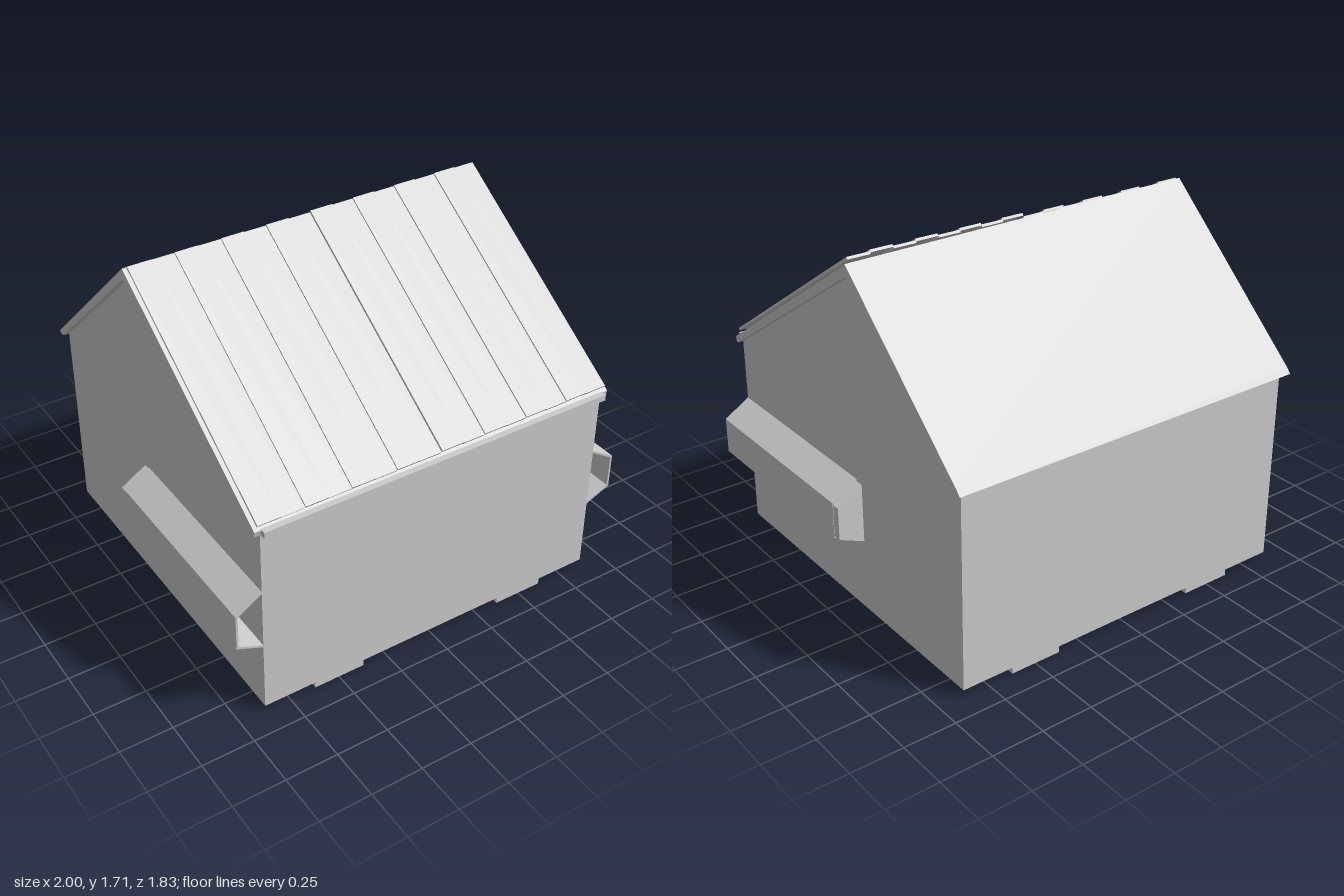
import * as THREE from 'three';

const polygon = (pts) => new THREE.Shape(pts.map(([a, b]) => new THREE.Vector2(a, b)));

// Extrudes a [z, y] side profile across the full width, centred on x = 0
function acrossX(pts, width) {
  const g = new THREE.ExtrudeGeometry(polygon(pts), { depth: width, bevelEnabled: false });
  g.translate(0, 0, -width / 2);
  g.rotateY(-Math.PI / 2);
  return g;
}

// Extrudes an [x, y] profile from z0 to z1
function alongZ(pts, z0, z1) {
  const g = new THREE.ExtrudeGeometry(polygon(pts), { depth: z1 - z0, bevelEnabled: false });
  g.translate(0, 0, z0);
  return g;
}

export function createModel() {
  const model = new THREE.Group();
  model.name = 'wasteContainer';
  const grey = new THREE.MeshStandardMaterial({ color: 0xcccccc });
  grey.name = 'paintedSteelGrey';

  const add = (name, geometry, parent = model) => {
    const mesh = new THREE.Mesh(geometry, grey);
    mesh.name = name;
    parent.add(mesh);
    return mesh;
  };

  // Body with gabled sides
  add('body', acrossX([
    [0.88, 0.03], [0.88, 0.97], [-0.14, 1.63], [-0.88, 0.97], [-0.88, 0.03],
  ], 1.75));

  // Roof frame below the lids, front lip and back roof panel
  add('frontRoofFrame', acrossX([
    [-0.14, 1.68], [0.89, 1.0], [0.885, 0.973], [0.875, 0.973], [-0.14, 1.63],
  ], 1.81));
  add('frontLip', new THREE.BoxGeometry(1.75, 0.03, 0.04)).position.set(0, 0.988, 0.895);
  add('backRoofPanel', acrossX([
    [-0.14, 1.685], [-0.895, 1.0], [-0.917, 0.975], [-0.88, 0.972], [-0.14, 1.635],
  ], 1.81));

  // Two ribbed lids lying on the front slope
  const slope = new THREE.Group();
  slope.name = 'lids';
  slope.position.set(0, 1.68, -0.14);
  slope.rotation.x = Math.atan2(0.68, 1.03);
  model.add(slope);

  const ribs = 8, lidWidth = 0.885, ribStep = 0.007;
  const makeLid = (name, x0, hStart, hEnd) => {
    const height = (t) => hStart + (hEnd - hStart) * t;
    const top = [];
    for (let i = 0; i < ribs; i++) {
      const drop = i % 2 ? ribStep : 0;
      for (const t of [i / ribs, (i + 1) / ribs]) top.push([x0 + lidWidth * t, height(t) - drop]);
    }
    // Underside runs parallel to the ribbed top
    const under = top.map(([x, h]) => [x, h - 0.012]).reverse();
    add(name, alongZ([...top, ...under], 0, 1.217), slope);
  };
  makeLid('rightLid', -lidWidth, 0.01, 0.019);
  makeLid('leftLid', 0, 0.027, 0.038);

  // Fork pockets: open at the front, capped at the back
  for (const s of [1, -1]) {
    const side = s > 0 ? 'left' : 'right';
    const mirror = (pts) => pts.map(([x, y]) => [s * x, y]);
    add(side + 'ForkPocket', alongZ(mirror([
      [0.874, 0.675], [1, 0.597], [1, 0.424], [0.874, 0.37],
      [0.874, 0.381], [0.99, 0.431], [0.99, 0.591], [0.874, 0.663],
    ]), -0.1, 0.88));
    add(side + 'PocketCap', alongZ(mirror([
      [0.874, 0.665], [0.998, 0.588], [0.998, 0.432], [0.874, 0.379],
    ]), -0.14, -0.1));

    // Skid rail under the floor
    add(side + 'Skid', new THREE.BoxGeometry(0.25, 0.03, 1.76)).position.set(s * 0.497, 0.015, 0);
  }

  return model;
}
